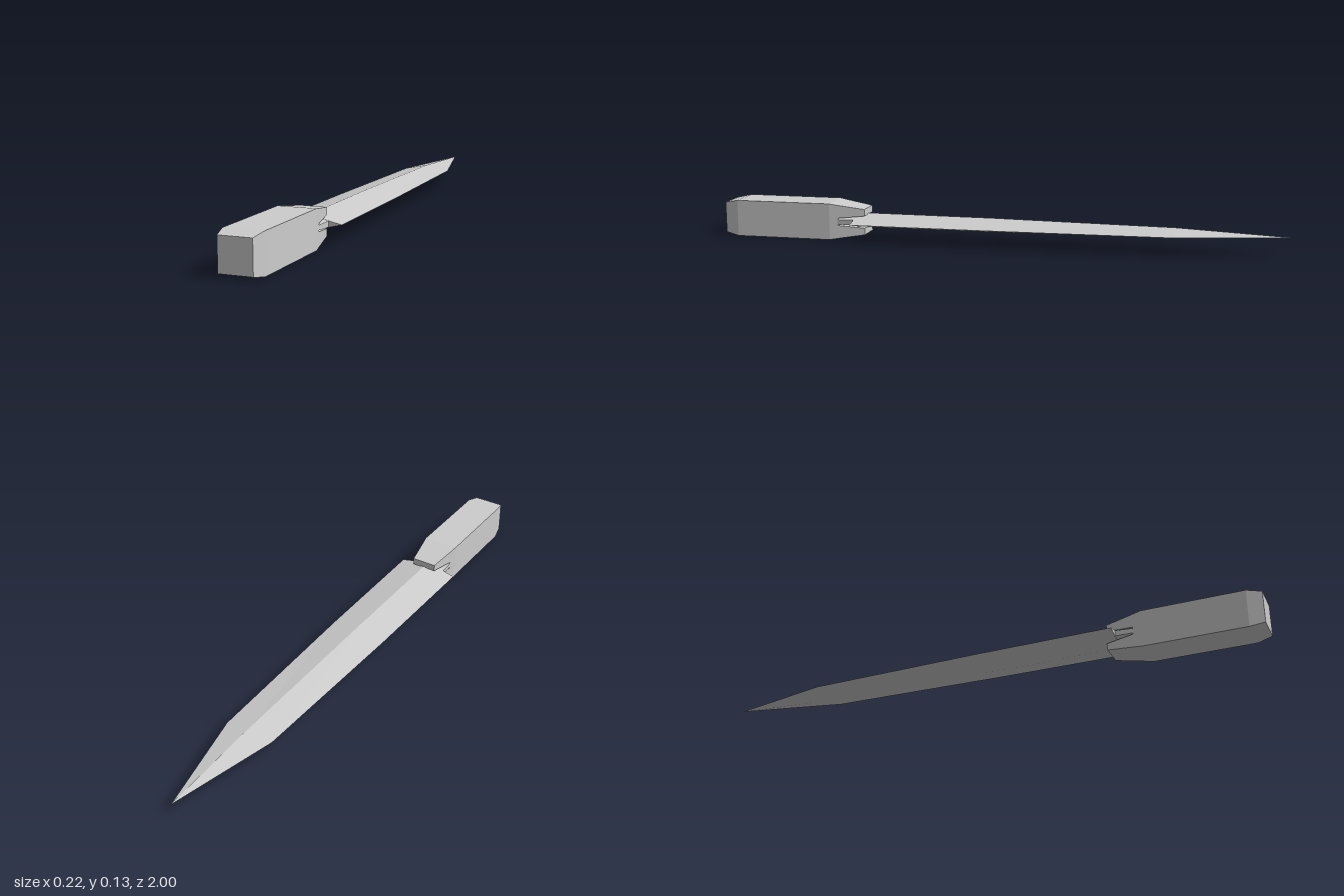
import * as THREE from 'three';

const MID = 0.065; // height of the centre line

// Closed solid through cross-sections [z, [[x, y], ...]], listed front to back,
// corners anticlockwise seen from the front
function loft(sections) {
  const pos = [];
  const rings = sections.map(([z, pts]) => pts.map(([x, y]) => [x, y + MID, z]));
  const tri = (a, b, c) => pos.push(...a, ...b, ...c);
  const n = rings[0].length;
  for (let s = 0; s < rings.length - 1; s++) {
    const a = rings[s], b = rings[s + 1];
    for (let i = 0; i < n; i++) {
      const j = (i + 1) % n;
      tri(a[i], b[i], b[j]);
      tri(a[i], b[j], a[j]);
    }
  }
  const first = rings[0], last = rings[rings.length - 1];
  for (let i = 1; i < n - 1; i++) {
    tri(first[0], first[i], first[i + 1]);
    tri(last[0], last[i + 1], last[i]);
  }
  const geo = new THREE.BufferGeometry();
  geo.setAttribute('position', new THREE.Float32BufferAttribute(pos, 3));
  geo.computeVertexNormals();
  return geo;
}

const box = (w, lo, hi) => [[-w, lo], [w, lo], [w, hi], [-w, hi]];
const diamond = (w, t) => [[-w, 0], [0, -t], [w, 0], [0, t]];
const tangShape = (w, edge, t) => [[-w, -edge], [0, -t], [w, -edge], [w, edge], [0, t], [-w, edge]];

export function createModel() {
  const model = new THREE.Group();
  const steel = new THREE.MeshStandardMaterial({ color: 0xcccccc });
  steel.name = 'pale grey';
  const add = (name, geo) => {
    const mesh = new THREE.Mesh(geo, steel);
    mesh.name = name;
    model.add(mesh);
  };

  // Square grip with a chamfered butt
  add('handle', loft([
    [1, box(0.055, -0.055, 0.055)],
    [0.95, box(0.065, -0.065, 0.065)],
    [0.6, box(0.065, -0.065, 0.065)],
    [0.57, box(0.06, -0.06, 0.06)],
  ]));

  // Tapered jaws clasping the blade from above and below
  add('upperJaw', loft([
    [0.57, box(0.06, 0.013, 0.06)],
    [0.475, box(0.045, 0.022, 0.046)],
  ]));
  add('lowerJaw', loft([
    [0.57, box(0.06, -0.06, -0.013)],
    [0.475, box(0.045, -0.046, -0.022)],
  ]));

  // Narrow tang between blade and handle
  add('tang', loft([
    [0.575, tangShape(0.06, 0.008, 0.012)],
    [0.51, tangShape(0.065, 0.01, 0.025)],
  ]));

  // Double-edged blade with a central ridge
  add('blade', loft([
    [0.51, diamond(0.11, 0.026)],
    [0.02, diamond(0.105, 0.025)],
    [-0.62, diamond(0.088, 0.018)],
    [-1, diamond(0.0005, 0.0005)],
  ]));

  return model;
}
